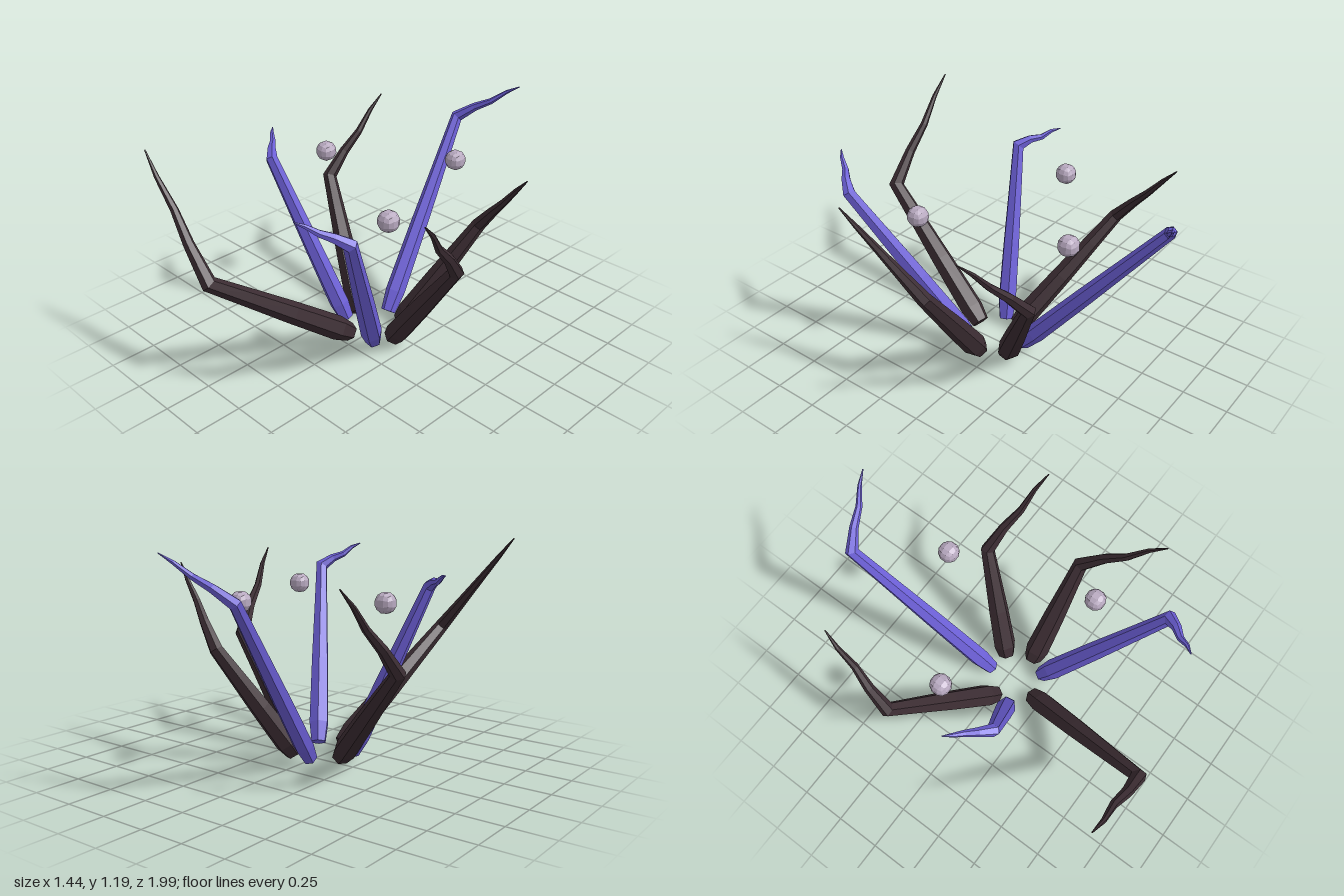
import * as THREE from 'three';

const V = (p) => new THREE.Vector3(...p);

// Faceted normals from a shared-vertex geometry
function faceted(geometry) {
  const g = geometry.toNonIndexed();
  g.computeVertexNormals();
  return g;
}

// Bent, tapering six-sided limb: base -> elbow -> tip
function limbGeometry(base, elbow, tip, width) {
  const SIDES = 6;
  const [a, e, c] = [V(base), V(elbow), V(tip)];
  const lower = e.clone().sub(a).normalize();
  const upper = c.clone().sub(e).normalize();
  const across = lower.clone().cross(upper).normalize();
  const bend = lower.clone().add(upper).normalize();
  const miter = 1 / bend.dot(lower);

  // [segment, fraction along it, radius]
  const rings = [
    [0, 0, 0.046], [0, 0.1, 0.061], [0, 0.45, 0.054], [0, 0.75, 0.044], [0, 1, 0.036],
    [1, 0.3, 0.026], [1, 0.55, 0.019], [1, 0.8, 0.012], [1, 1, 0.003],
  ];
  const pos = [], index = [];
  rings.forEach(([seg, t, r], k) => {
    const centre = seg ? e.clone().lerp(c, t) : a.clone().lerp(e, t);
    const atElbow = seg === 0 && t === 1;
    const dir = atElbow ? bend : seg ? upper : lower;
    const out = dir.clone().cross(across);
    // slight gnarl along the upper part
    if (seg && t < 1) centre.addScaledVector(out, 0.006 * (k % 2 ? 1 : -1));
    for (let i = 0; i < SIDES; i++) {
      const w = (i / SIDES) * Math.PI * 2;
      const p = centre.clone()
        .addScaledVector(across, Math.cos(w) * r * width)
        .addScaledVector(out, Math.sin(w) * r * width * (atElbow ? miter : 1));
      pos.push(p.x, p.y, p.z);
    }
  });
  for (let k = 0; k < rings.length - 1; k++) {
    for (let i = 0; i < SIDES; i++) {
      const p = k * SIDES + i, q = k * SIDES + ((i + 1) % SIDES);
      index.push(p, p + SIDES, q, q, p + SIDES, q + SIDES);
    }
  }
  // end caps
  const last = (rings.length - 1) * SIDES;
  for (let i = 1; i < SIDES - 1; i++) {
    index.push(0, i, i + 1, last, last + i + 1, last + i);
  }
  // across x out runs along -dir or +dir; pick the outward winding
  const flip = across.clone().cross(lower.clone().cross(across)).dot(lower) > 0;
  if (flip) {
    for (let i = 0; i < index.length; i += 3) {
      [index[i + 1], index[i + 2]] = [index[i + 2], index[i + 1]];
    }
  }
  const g = new THREE.BufferGeometry();
  g.setAttribute('position', new THREE.Float32BufferAttribute(pos, 3));
  g.setIndex(index);
  return faceted(g);
}

// Low-poly ball: a subdivided cube pushed out to a sphere
function orbGeometry(radius) {
  const g = new THREE.BoxGeometry(1, 1, 1, 3, 3, 3);
  const p = g.attributes.position, v = new THREE.Vector3();
  for (let i = 0; i < p.count; i++) {
    v.fromBufferAttribute(p, i).setLength(radius);
    p.setXYZ(i, v.x, v.y, v.z);
  }
  return faceted(g);
}

export function createModel() {
  const model = new THREE.Group();
  model.name = 'clawPlant';

  const material = (name, color) => {
    const m = new THREE.MeshStandardMaterial({ color });
    m.name = name;
    return m;
  };
  const bark = material('darkBark', 0x3b2c32);
  const violet = material('violet', 0x6c5fd6);
  const pearl = material('paleLilac', 0xb8a9c0);

  const add = (name, geometry, mat) => {
    const mesh = new THREE.Mesh(geometry, mat);
    mesh.name = name;
    model.add(mesh);
    return mesh;
  };

  // Limbs in a ring: name, material, base, elbow, tip, thickness
  const limbs = [
    ['backLimb', violet, [-0.04, 0.05, -0.1], [-0.205, 0.98, -0.84], [0.115, 1.2, -0.99], 0.9],
    ['backLeftLimb', bark, [0.08, 0.05, -0.08], [0.34, 0.64, -0.4], [0.71, 1.06, -0.275], 1.05],
    ['leftLimb', bark, [0.15, 0.05, 0.06], [0.57, 0.64, 0.06], [0.705, 1.09, 0.45], 1.1],
    ['frontLeftLimb', violet, [0.1, 0.05, 0.16], [0.45, 0.98, 0.65], [0.3, 1.11, 0.84], 0.95],
    ['frontLimb', bark, [-0.04, 0.055, 0.2], [-0.21, 0.63, 0.96], [-0.67, 1.18, 0.94], 1.1],
    ['rightLimb', violet, [-0.165, 0.05, 0.11], [-0.52, 0.97, 0.29], [-0.7, 1.05, 0.13], 0.9],
    ['backRightLimb', bark, [-0.155, 0.05, 0.02], [-0.69, 0.63, -0.27], [-0.625, 1.06, -0.64], 1.05],
  ];
  for (const [name, mat, base, elbow, tip, width] of limbs) {
    add(name, limbGeometry(base, elbow, tip, width), mat);
  }

  // Floating orbs between the limbs
  const orb = orbGeometry(0.056);
  const spots = [[0.105, -0.465], [-0.48, -0.06], [0.335, 0.29]];
  spots.forEach(([x, z], i) => add(`orb${i + 1}`, orb, pearl).position.set(x, 0.92, z));

  return model;
}
